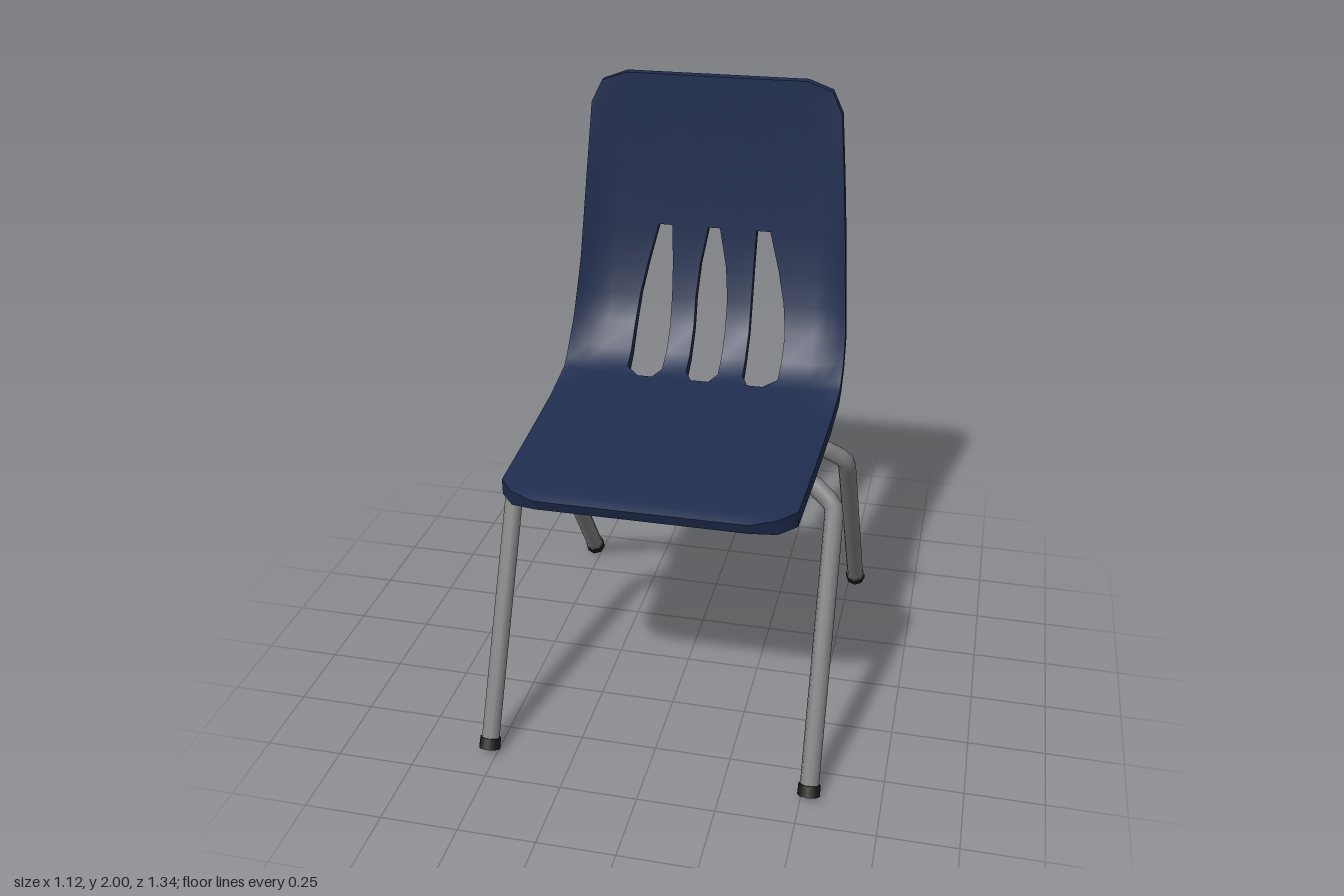
import * as THREE from 'three';
import { toCreasedNormals } from 'three/addons/utils/BufferGeometryUtils.js';

const navy = new THREE.MeshStandardMaterial({ color: 0x1f2d4e });
navy.name = 'navyPlastic';
const steel = new THREE.MeshStandardMaterial({ color: 0x808080 });
steel.name = 'greySteel';
const rubber = new THREE.MeshStandardMaterial({ color: 0x171c15 });
rubber.name = 'blackRubber';

// Shell sections from front lip to top of the backrest:
// z, y, half width, edge curl, thickness, then slot edges: inner, outer, middle half width
const ROWS = [
  [0.66, 0.985, 0.32, 0, 0.04, 0.14, 0.26, 0.055],
  [0.63, 0.998, 0.40, -0.005, 0.052, 0.14, 0.26, 0.055],
  [0.56, 1.0, 0.45, -0.012, 0.05, 0.14, 0.26, 0.055],
  [0.3, 1.006, 0.46, -0.012, 0.05, 0.14, 0.26, 0.055],
  [0, 1.016, 0.47, -0.008, 0.05, 0.14, 0.26, 0.055],
  [-0.17, 1.025, 0.475, 0.01, 0.05, 0.165, 0.215, 0.03],
  [-0.21, 1.037, 0.475, 0.025, 0.05, 0.14, 0.26, 0.055],
  [-0.27, 1.075, 0.475, 0.04, 0.045, 0.138, 0.262, 0.055],
  [-0.33, 1.15, 0.472, 0.045, 0.04, 0.138, 0.262, 0.055],
  [-0.362, 1.25, 0.465, 0.045, 0.038, 0.138, 0.25, 0.055],
  [-0.385, 1.36, 0.456, 0.042, 0.036, 0.14, 0.226, 0.045],
  [-0.40, 1.49, 0.448, 0.038, 0.035, 0.145, 0.192, 0.02],
  [-0.407, 1.7, 0.432, 0.025, 0.035, 0.145, 0.192, 0.02],
  [-0.405, 1.9, 0.415, 0.01, 0.035, 0.145, 0.192, 0.02],
  [-0.403, 1.97, 0.38, 0, 0.035, 0.145, 0.192, 0.02],
  [-0.402, 2.0, 0.30, 0, 0.033, 0.145, 0.192, 0.02],
];
const SLOT_START = 5, SLOT_END = 11;

// One-piece seat and backrest: a thick curved sheet with three slots left open
function shellGeometry() {
  const upper = [], lower = [];
  ROWS.forEach(([z, y, w, curl, thick, inner, outer, mid], i) => {
    const a = ROWS[Math.max(0, i - 1)], b = ROWS[Math.min(ROWS.length - 1, i + 1)];
    const n = new THREE.Vector3(0, a[0] - b[0], b[1] - a[1]).normalize();
    const k = Math.min(1, w / 0.42);
    const half = [[w, 1], [w * 0.965, 0.8], [w * 0.87, 0.3], [w * 0.76, 0.06],
      [outer * k, 0], [inner * k, 0], [mid * k, 0]];
    const cols = [...half.map(([x, f]) => [-x, f]), ...half.slice().reverse()];
    upper.push(cols.map(([x, f]) => new THREE.Vector3(x, y, z).addScaledVector(n, curl * f)));
    lower.push(upper[i].map((p) => p.clone().addScaledVector(n, -thick)));
  });
  const solid = (i, j) => i >= 0 && j >= 0 && i < ROWS.length - 1 && j < 13 &&
    !(i >= SLOT_START && i < SLOT_END && (j === 4 || j === 6 || j === 8));
  const pos = [];
  const quad = (a, b, c, d) => [a, b, c, a, c, d].forEach((p) => pos.push(p.x, p.y, p.z));
  for (let i = 0; i < ROWS.length - 1; i++) {
    for (let j = 0; j < 13; j++) {
      if (!solid(i, j)) continue;
      const at = [[i, j], [i, j + 1], [i + 1, j + 1], [i + 1, j]];
      const t = at.map(([r, c]) => upper[r][c]);
      const u = at.map(([r, c]) => lower[r][c]);
      quad(...t);
      quad(u[3], u[2], u[1], u[0]);
      // Walls along the rim and the slots
      [[i - 1, j], [i, j + 1], [i + 1, j], [i, j - 1]].forEach(([r, c], e) => {
        const f = (e + 1) % 4;
        if (!solid(r, c)) quad(u[e], u[f], t[f], t[e]);
      });
    }
  }
  const g = new THREE.BufferGeometry();
  g.setAttribute('position', new THREE.Float32BufferAttribute(pos, 3));
  return toCreasedNormals(g, 0.75);
}

// Symmetric bent tube: points run from one end to the centre, then mirror
function bentTube(name, points, radius, segments) {
  const half = points.map((p) => new THREE.Vector3(...p));
  const rest = half.slice().reverse().filter((p) => p.x !== 0)
    .map((p) => new THREE.Vector3(-p.x, p.y, p.z));
  const curve = new THREE.CatmullRomCurve3([...half, ...rest], false, 'catmullrom', 0.12);
  const mesh = new THREE.Mesh(new THREE.TubeGeometry(curve, segments, radius, 10), steel);
  mesh.name = name;
  return mesh;
}

export function createModel() {
  const chair = new THREE.Group();
  chair.name = 'chair';

  const shell = new THREE.Mesh(shellGeometry(), navy);
  shell.name = 'seatShell';
  chair.add(shell);

  // Leg frames, each a pair of legs joined by a crossbar under the seat
  const legs = {
    front: [[0.525, 0.032, 0.625], [0.52, 0.81, 0.25], [0.50, 0.85, 0.23],
      [0.44, 0.895, 0.21], [0.38, 0.903, 0.205], [0, 0.912, 0.2]],
    rear: [[0.525, 0.036, -0.63], [0.52, 0.81, -0.085], [0.50, 0.85, -0.06],
      [0.44, 0.895, -0.03], [0.38, 0.903, -0.02], [0, 0.912, -0.01]],
  };
  for (const [name, points] of Object.entries(legs)) {
    chair.add(bentTube(name + 'LegFrame', points, 0.03, 100));
    // Rubber feet
    for (const side of [1, -1]) {
      const foot = new THREE.Vector3(...points[0]), knee = new THREE.Vector3(...points[1]);
      foot.x *= side;
      knee.x *= side;
      const cap = new THREE.Mesh(new THREE.CylinderGeometry(0.035, 0.036, 0.036, 8), rubber);
      cap.name = name + (side > 0 ? 'Left' : 'Right') + 'FootCap';
      cap.position.copy(foot);
      cap.quaternion.setFromUnitVectors(new THREE.Vector3(0, 1, 0), knee.sub(foot).normalize());
      chair.add(cap);
    }
  }

  // Support hoop running under the seat and up behind the backrest
  chair.add(bentTube('backSupportHoop', [
    [0.30, 0.938, 0.43], [0.33, 0.942, 0.1], [0.335, 0.955, -0.15], [0.335, 0.975, -0.24],
    [0.34, 1.03, -0.32], [0.34, 1.12, -0.382], [0.335, 1.25, -0.412], [0.33, 1.4, -0.434],
    [0.32, 1.6, -0.448], [0.27, 1.74, -0.455], [0.19, 1.785, -0.458], [0, 1.795, -0.46],
  ], 0.018, 110));

  return chair;
}
